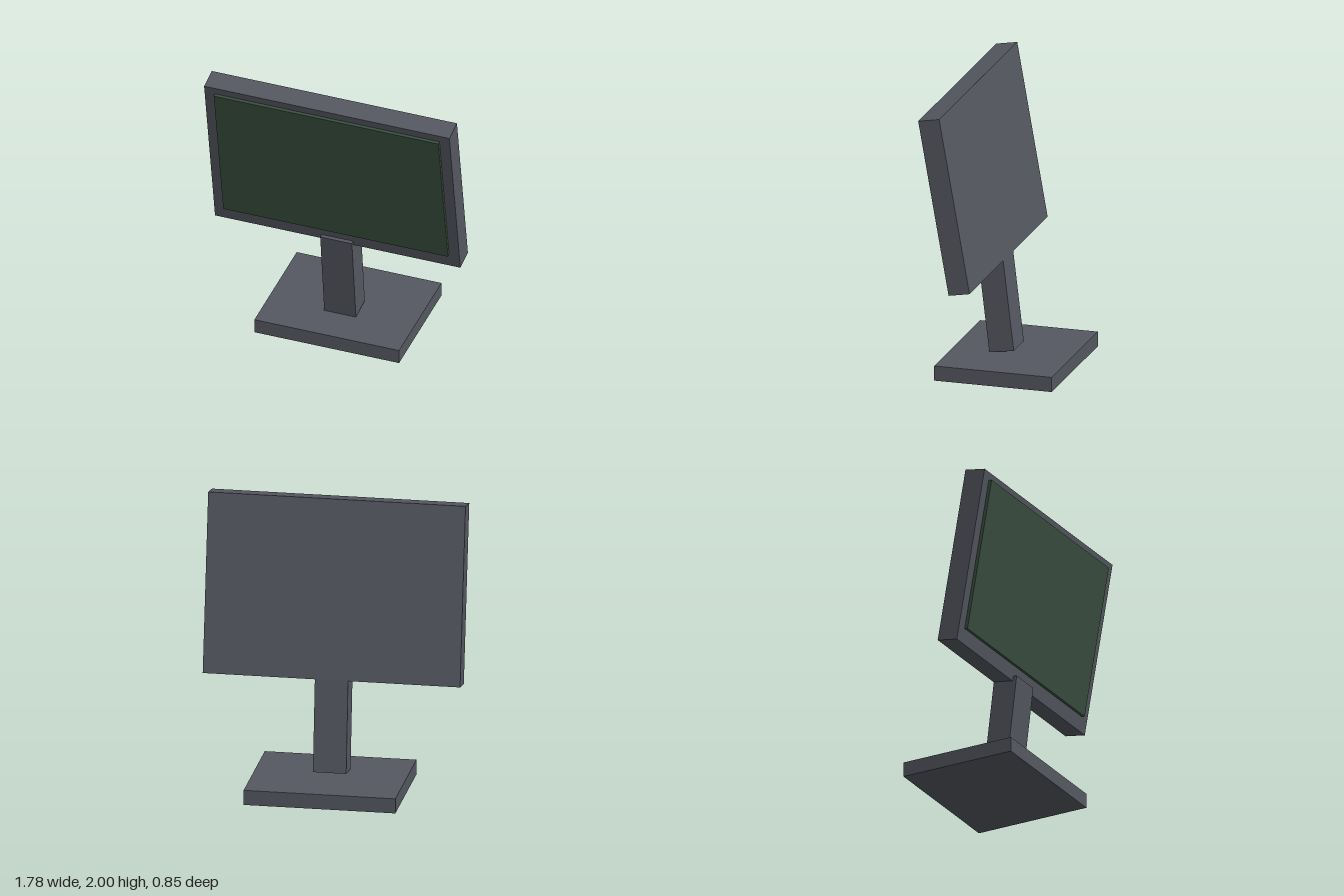
import * as THREE from 'three';

const deg = THREE.MathUtils.degToRad;

export function createModel() {
  const model = new THREE.Group();
  model.name = 'monitor';

  const casing = new THREE.MeshStandardMaterial({ color: 0x555861 });
  const glass = new THREE.MeshStandardMaterial({ color: 0x3b5040 });

  function addBox(parent, name, size, position, material) {
    const mesh = new THREE.Mesh(new THREE.BoxGeometry(...size), material);
    mesh.name = name;
    mesh.position.set(...position);
    parent.add(mesh);
    return mesh;
  }

  // Flat foot
  addBox(model, 'base', [1.05, 0.105, 0.84], [0, 0.0525, -0.006], casing);

  // Neck, leaning forward
  const neck = addBox(model, 'neck', [0.23, 0.675, 0.177], [0, 0.451, 0.101], casing);
  neck.rotation.x = deg(6.8);

  // Head: casing and raised display panel tilt together
  const head = new THREE.Group();
  head.name = 'head';
  head.position.set(0, 1.372, 0.23);
  head.rotation.x = deg(10);
  addBox(head, 'screenCasing', [1.78, 1.25, 0.152], [0, 0, 0], casing);
  addBox(head, 'displayPanel', [1.63, 1.09, 0.03], [0, 0.027, 0.084], glass);
  model.add(head);

  return model;
}
